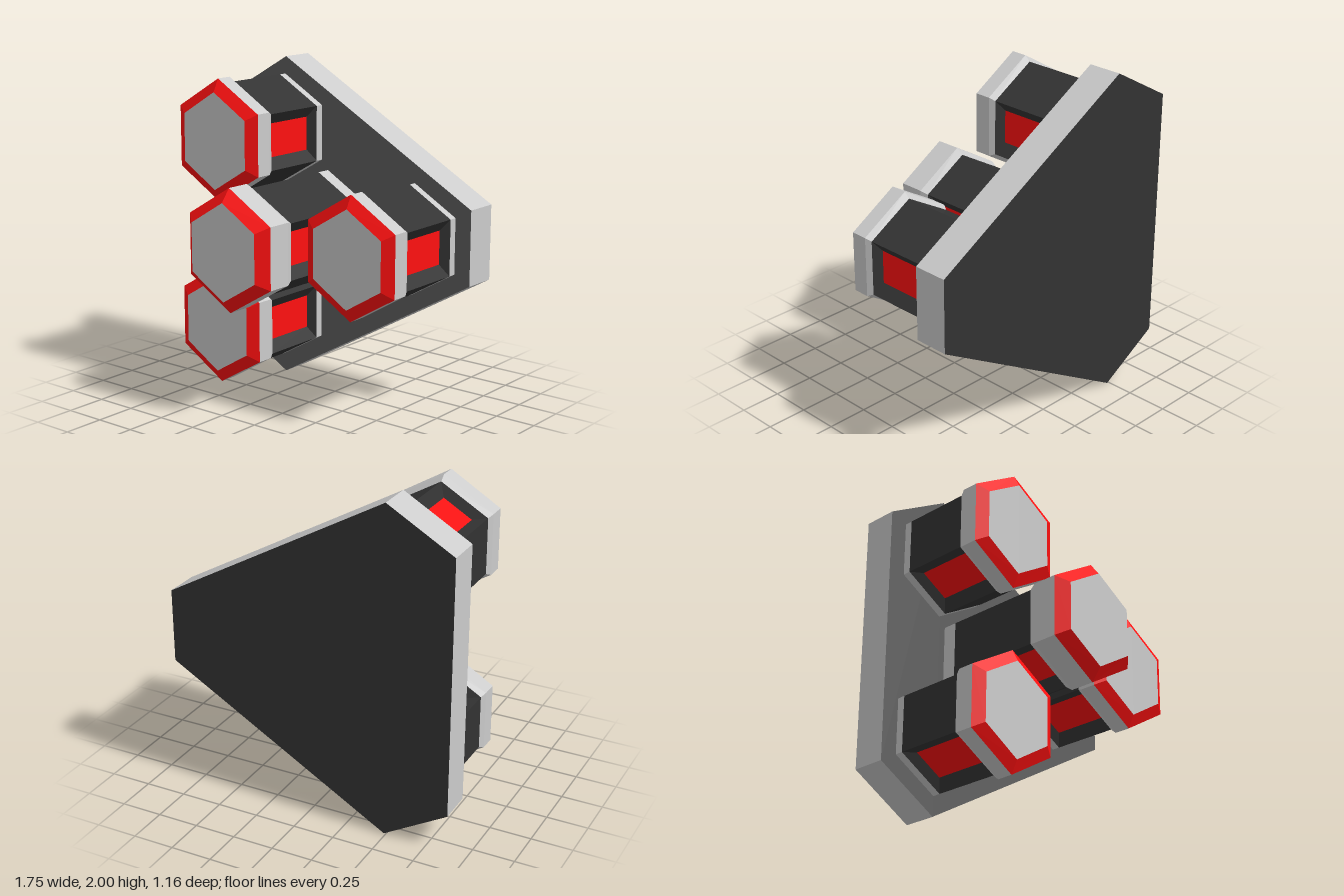
import * as THREE from 'three';

const mat = (color) => new THREE.MeshStandardMaterial({ color, flatShading: true });
const grey = mat(0xcccccc);
const dark = mat(0x333333);
const slate = mat(0x5e5e5e);
const red = mat(0xff1010);

// Mesh from flat convex polygons, each wound counter-clockwise from outside
function polyMesh(name, polys, material) {
  const pos = [];
  for (const p of polys) {
    for (let i = 1; i < p.length - 1; i++) {
      for (const v of [p[0], p[i], p[i + 1]]) pos.push(v.x, v.y, v.z);
    }
  }
  const geo = new THREE.BufferGeometry();
  geo.setAttribute('position', new THREE.Float32BufferAttribute(pos, 3));
  geo.computeVertexNormals();
  const mesh = new THREE.Mesh(geo, material);
  mesh.name = name;
  return mesh;
}

// Pointed-top hexagon ring: half width w, half height h, at depth z
const ring = (w, h, z) =>
  [[0, h], [-w, h / 2], [-w, -h / 2], [0, -h], [w, -h / 2], [w, h / 2]]
    .map(([x, y]) => new THREE.Vector3(x, y, z));

// Quads joining a back ring to a front ring
const walls = (a, b) => a.map((p, i) => {
  const j = (i + 1) % a.length;
  return [p, a[j], b[j], b[i]];
});

// Sunken panel in a wall quad: sloping frame and inner floor
function recess([a, b, c, d], side, end, depth) {
  const n = b.clone().sub(a).cross(d.clone().sub(a)).normalize();
  const along = b.clone().sub(a).normalize().multiplyScalar(side);
  const push = (v, s, z) => v.clone().addScaledVector(along, s).addScaledVector(n, -depth)
    .add(new THREE.Vector3(0, 0, z));
  const floor = [push(a, 1, end), push(b, -1, end), push(c, -1, -end), push(d, 1, -end)];
  return { floor, frame: walls([a, b, c, d], floor) };
}

// Hexagonal column with collar, panelled shaft and bevelled cap
function column(name, x, y, { shaft, neck, rim, bevel, tip, end }) {
  const g = new THREE.Group();
  g.name = name;
  g.position.set(x, y, 0);
  const W = 0.285, H = 0.332;
  const foot = ring(W, H, -0.37), low = ring(W, H, shaft), high = ring(W, H, neck);
  g.add(polyMesh('collar', walls(foot, low), grey));

  // Every second shaft side carries a red sunken panel
  const darkFaces = [], redFaces = [];
  walls(low, high).forEach((quad, i) => {
    if (i % 2) { darkFaces.push(quad); return; }
    const { floor, frame } = recess(quad, 0.066, end, 0.055);
    darkFaces.push(...frame);
    redFaces.push(floor);
  });
  g.add(polyMesh('shaft', darkFaces, dark), polyMesh('sidePanels', redFaces, red));

  const capLow = ring(0.302, 0.363, rim), capHigh = ring(0.302, 0.363, bevel);
  const top = ring(0.235, 0.287, tip);
  g.add(polyMesh('capSides', [...walls(high, capLow), ...walls(capLow, capHigh)], grey));
  g.add(polyMesh('capBevel', walls(capHigh, top), red));
  g.add(polyMesh('capFace', [top], grey));
  return g;
}

export function createModel() {
  const model = new THREE.Group();
  model.name = 'columnCluster';

  // Backing plate: triangle with cut corners
  const outline = (z) =>
    [[-0.48, 2], [-0.88, 1.77], [-0.875, 0.225], [-0.488, 0], [0.872, 0.785], [0.872, 1.23]]
      .map(([x, y]) => new THREE.Vector3(x, y, z));
  const back = outline(-0.58), front = outline(-0.37);
  const plate = new THREE.Group();
  plate.name = 'backingPlate';
  plate.add(
    polyMesh('plateEdge', walls(back, front), grey),
    polyMesh('plateFront', [front], slate),
    polyMesh('plateBack', [back.slice().reverse()], dark),
  );
  model.add(plate);

  // Three short columns at the corners, one tall one in the middle
  const short = { shaft: -0.32, neck: 0.1, rim: 0.135, bevel: 0.235, tip: 0.275, end: 0.027 };
  const tall = { shaft: -0.28, neck: 0.325, rim: 0.37, bevel: 0.52, tip: 0.58, end: 0.042 };
  model.add(
    column('upperColumn', -0.487, 1.562, short),
    column('lowerColumn', -0.487, 0.453, short),
    column('sideColumn', 0.483, 1.006, short),
    column('middleColumn', -0.155, 1.006, tall),
  );
  return model;
}
